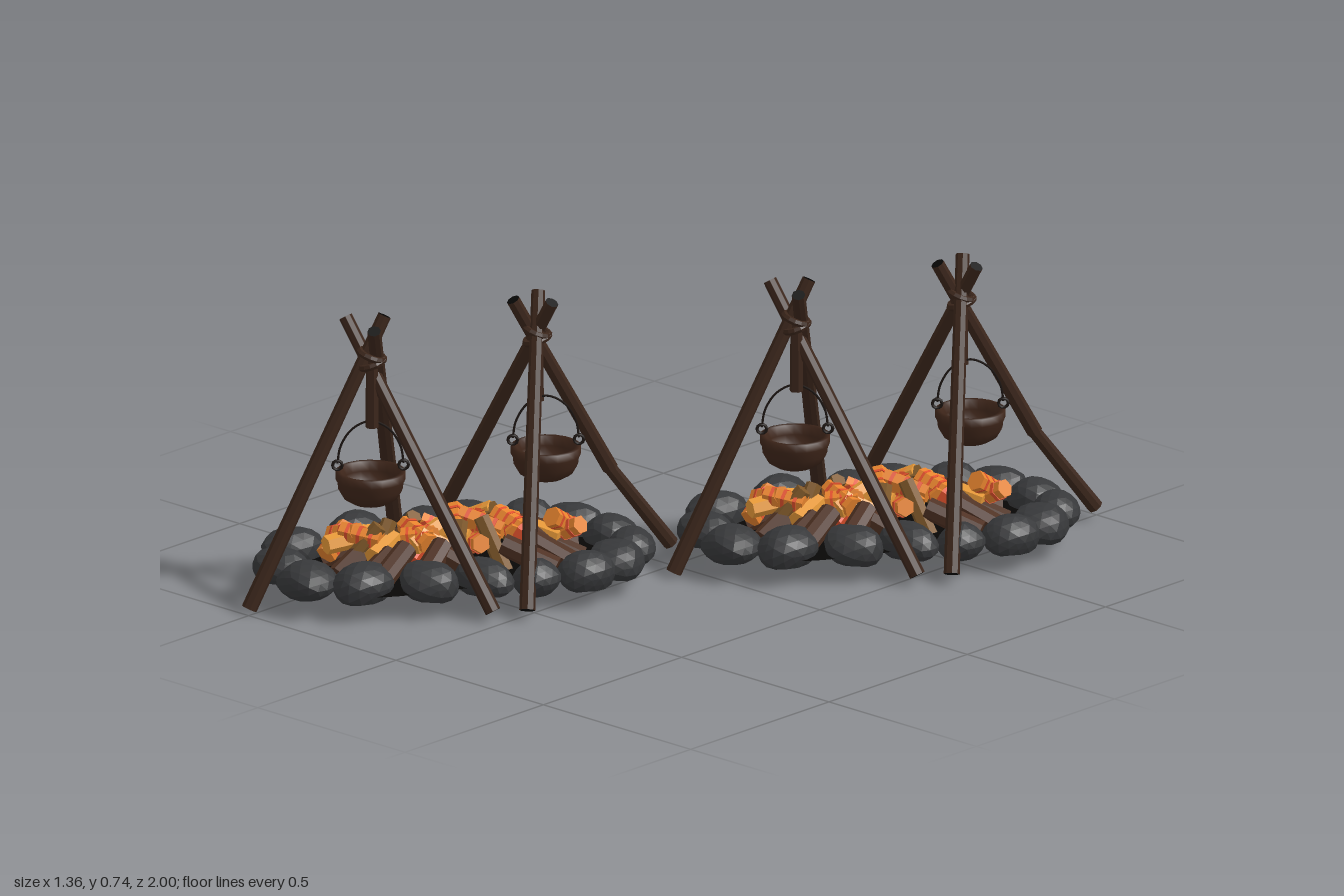
import * as THREE from 'three';

const paint = (name, color, extra = {}) => Object.assign(new THREE.MeshStandardMaterial({ color, ...extra }), { name });
const V = (x, y, z) => new THREE.Vector3(x, y, z);

// small seeded random generator
function seeded(seed) {
  return () => {
    seed = (seed * 16807) % 2147483647;
    return seed / 2147483647;
  };
}

export function createModel() {
  const mat = {
    wood: paint('dark wood', 0x3b261b, { flatShading: true }),
    char: paint('charred black', 0x080706, { side: THREE.DoubleSide }),
    iron: paint('rusty iron', 0x3f261a, { side: THREE.DoubleSide }),
    wire: paint('black wire', 0x1c1512),
    stone: paint('grey stone', 0x37383a, { flatShading: true }),
    log: paint('brown log', 0x4f3122, { flatShading: true }),
    amber: paint('amber wood', 0x80592a, { flatShading: true }),
    orange: paint('glowing orange', 0xe8842e, { flatShading: true }),
    yellow: paint('glowing yellow orange', 0xeb9c3a, { flatShading: true }),
    red: paint('ember red', 0xe0502c, { flatShading: true }),
  };

  function add(parent, name, geometry, material) {
    const mesh = new THREE.Mesh(geometry, material);
    mesh.name = name;
    parent.add(mesh);
    return mesh;
  }

  // round timber between two points
  function beam(parent, name, a, b, ra, rb, sides, material) {
    const dir = b.clone().sub(a);
    const mesh = add(parent, name, new THREE.CylinderGeometry(rb, ra, dir.length(), sides), material);
    mesh.position.copy(a).add(b).multiplyScalar(0.5);
    mesh.quaternion.setFromUnitVectors(V(0, 1, 0), dir.normalize());
    return mesh;
  }

  // irregular stone with a flat underside
  function stone(parent, x, z, rx, rz, seed) {
    const g = new THREE.IcosahedronGeometry(1, 2);
    const p = g.attributes.position;
    const h = 0.046 + 0.01 * Math.abs(Math.sin(seed * 2.3));
    for (let i = 0; i < p.count; i++) {
      const v = V().fromBufferAttribute(p, i);
      const k = 1 + 0.06 * Math.sin(3.1 * v.x + seed) * Math.cos(2.7 * v.z + seed * 2) + 0.04 * Math.sin(4 * v.y + 3 * v.x + seed);
      p.setXYZ(i, v.x * rx * k, Math.max(v.y * h * k, -0.038), v.z * rz * k);
    }
    g.computeVertexNormals();
    add(parent, 'stone', g, mat.stone).position.set(x, 0.08, z);
  }

  // three crossed poles, each a list of points from foot to tip
  function tripod(parent, poles, apex, pot) {
    const group = new THREE.Group();
    group.name = 'tripod';
    const ends = [mat.wood, mat.char, mat.char];
    for (const pts of poles) {
      for (let i = 0; i < pts.length - 1; i++) {
        beam(group, 'pole', pts[i], pts[i + 1], 0.02, 0.017, 8, ends);
      }
    }
    // rope lashing round the crossing
    for (const [dy, tilt] of [[-0.01, 0.25], [0.01, -0.25]]) {
      const ring = add(group, 'lashing', new THREE.TorusGeometry(0.031, 0.009, 6, 14), mat.wood);
      ring.position.set(apex.x, apex.y + dy, apex.z);
      ring.rotation.set(Math.PI / 2 + tilt, tilt, 0);
    }
    // hanging stick
    beam(group, 'hangingStick', V(apex.x, pot.y + 0.2, apex.z), V(apex.x, apex.y, apex.z), 0.017, 0.015, 6, ends);

    // cooking pot, with y measured from its base
    const potGroup = new THREE.Group();
    potGroup.name = 'cookingPot';
    const profile = [[0, 0], [0.045, 0.003], [0.068, 0.017], [0.08, 0.038], [0.082, 0.055], [0.087, 0.064],
      [0.087, 0.084], [0.074, 0.084], [0.071, 0.06], [0.068, 0.04], [0.05, 0.018], [0, 0.012]];
    add(potGroup, 'pot', new THREE.LatheGeometry(profile.map(q => new THREE.Vector2(...q)), 20), mat.iron);
    for (const s of [-1, 1]) {
      const ear = add(potGroup, 'potEar', new THREE.TorusGeometry(0.012, 0.004, 6, 10), mat.wire);
      ear.position.set(0.082 * s, 0.1, 0);
    }
    const arc = new THREE.CatmullRomCurve3([V(-0.082, 0.105, 0), V(-0.074, 0.15, 0), V(-0.045, 0.195, 0),
      V(0, 0.215, 0), V(0.045, 0.195, 0), V(0.074, 0.15, 0), V(0.082, 0.105, 0)]);
    add(potGroup, 'potHandle', new THREE.TubeGeometry(arc, 24, 0.003, 5), mat.wire);
    potGroup.position.set(pot.x, pot.y, pot.z);
    potGroup.rotation.y = Math.PI / 4;
    group.add(potGroup);
    parent.add(group);
  }

  function firePit() {
    const pit = new THREE.Group();
    pit.name = 'firePit';
    const rand = seeded(4271);

    // ring of stones: x, z, radius across x, radius across z
    [[0.235, -0.765, 0.064, 0.064], [0.335, -0.82, 0.078, 0.07], [0.455, -0.825, 0.074, 0.068], [0.568, -0.78, 0.064, 0.062],
      [0.612, -0.68, 0.068, 0.072], [0.618, -0.565, 0.066, 0.076], [0.56, -0.445, 0.06, 0.06], [0.46, -0.36, 0.088, 0.06],
      [0.385, -0.245, 0.078, 0.072], [0.28, -0.12, 0.07, 0.088], [0.165, -0.04, 0.08, 0.072], [0.04, -0.078, 0.08, 0.062],
      [-0.04, -0.205, 0.07, 0.085], [-0.008, -0.395, 0.066, 0.085], [0.092, -0.54, 0.072, 0.07], [0.125, -0.66, 0.06, 0.068],
    ].forEach((s, i) => stone(pit, ...s, i * 1.7 + 0.6));

    // long axis and cross axis of the pit
    const at = (l, w, y) => V(0.285 + 0.41 * l + 0.91 * w, y, -0.435 - 0.91 * l + 0.41 * w);
    // rounded rectangle outline, scaled by k
    const soft = v => Math.sign(v) * Math.sqrt(Math.abs(v));
    const rim = (a, k, y) => at(0.37 * k * soft(Math.cos(a)), 0.21 * k * soft(Math.sin(a)), y);

    // ash bed
    const bed = [];
    for (let i = 0; i < 32; i++) {
      const p = rim(i / 32 * Math.PI * 2, 1, 0);
      bed.push(new THREE.Vector2(p.x, -p.z));
    }
    const ash = add(pit, 'ashBed', new THREE.ShapeGeometry(new THREE.Shape(bed)), mat.char);
    ash.rotation.x = -Math.PI / 2;
    ash.position.y = 0.065;

    // thick brown logs leaning in from the stones
    for (let i = 0; i < 17; i++) {
      const a = (i + rand() * 0.5) / 17 * Math.PI * 2;
      beam(pit, 'log', rim(a, 0.85, 0.07), rim(a + (rand() - 0.5) * 0.5, 0.4 + rand() * 0.12, 0.11 + rand() * 0.04),
        0.03, 0.028, 8, mat.log);
    }

    // glowing wood heaped in clusters along the middle: along, across, count
    const glow = [mat.orange, mat.yellow, mat.orange, mat.orange, mat.red, mat.yellow];
    let n = 0;
    for (const [cl, cw, count] of [[-0.27, -0.06, 4], [-0.18, -0.02, 4], [-0.09, 0.01, 6], [0, 0, 6],
      [0.1, -0.03, 6], [0.18, 0.04, 4], [0.24, 0.09, 3]]) {
      for (let j = 0; j < count; j++) {
        const l = cl + (rand() - 0.5) * 0.08;
        const w = cw + (rand() - 0.5) * 0.09;
        const turn = (j + rand()) / count * Math.PI * 2;
        const half = 0.04 + rand() * 0.02;
        const rise = (rand() - 0.5) * 0.06;
        const y = 0.115 + rand() * 0.045;
        const dl = half * Math.cos(turn), dw = half * Math.sin(turn);
        const a = at(l - dl, w - dw, y - rise), b = at(l + dl, w + dw, y + rise);
        const m = glow[n++ % 6];
        beam(pit, 'ember', a, b, 0.027, 0.024, 6, m);
        // thin hot bands round the orange pieces
        if (m === mat.orange) {
          for (const t of [0.2, 0.5, 0.8]) {
            beam(pit, 'emberBand', a.clone().lerp(b, t - 0.04), a.clone().lerp(b, t + 0.04), 0.0275, 0.0265, 6, mat.red);
          }
        }
      }
    }
    // amber sticks leaning on the heap, with feet below the ash
    for (const [l, w, dl, dw] of [[0.1, 0.1, -0.04, -0.06], [-0.12, -0.11, 0.03, 0.08], [-0.05, 0.12, 0.05, -0.07],
      [-0.24, 0.03, 0.08, -0.05], [0.2, -0.06, -0.09, 0.04], [-0.3, -0.02, 0.1, 0.03]]) {
      beam(pit, 'amberStick', at(l, w, 0.055), at(l + dl, w + dw, 0.185), 0.022, 0.02, 6, mat.amber);
    }

    tripod(pit, [
      [V(0.545, 0.025, -0.305), V(0.105, 0.71, -0.24)],
      [V(0.06, 0.01, 0.06), V(0.2, 0.725, -0.28)],
      [V(-0.01, 0.01, -0.55), V(0.235, 0.71, -0.205)],
    ], V(0.195, 0.62, -0.24), { x: 0.19, y: 0.242, z: -0.24 });
    tripod(pit, [
      [V(0.03, 0.01, -0.61), V(0.435, 0.725, -0.635)],
      [V(0.515, 0.03, -0.98), V(0.455, 0.25, -0.825), V(0.35, 0.725, -0.585)],
      [V(0.6, 0.025, -0.37), V(0.365, 0.735, -0.66)],
    ], V(0.385, 0.63, -0.635), { x: 0.405, y: 0.258, z: -0.645 });
    return pit;
  }

  // two matching fire pits in a diagonal row
  const model = new THREE.Group();
  model.name = 'campCookingFires';
  const back = firePit();
  const front = firePit();
  front.position.set(-0.575, 0, 0.922);
  model.add(back, front);
  return model;
}
